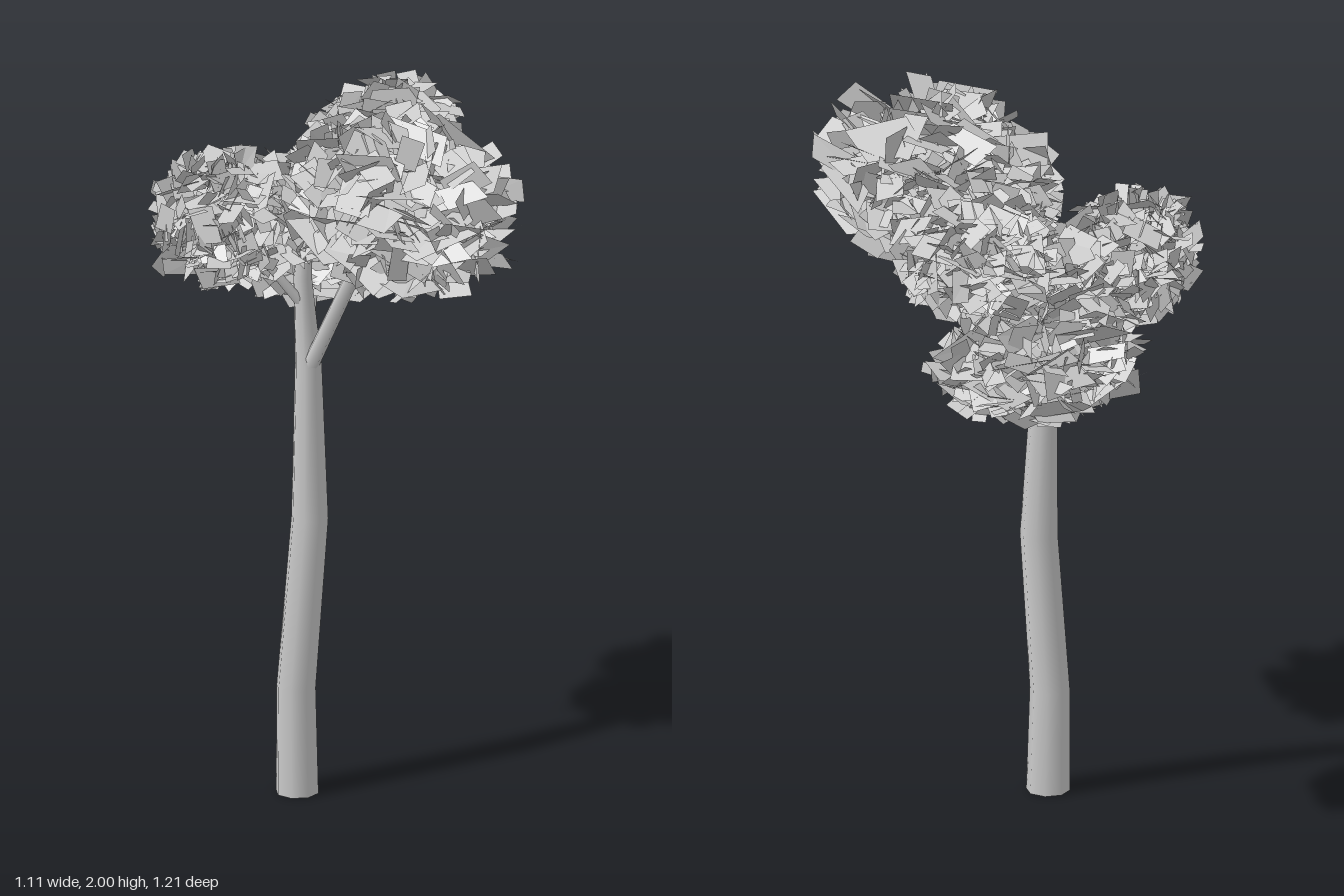
import * as THREE from 'three';

const bark = new THREE.MeshStandardMaterial({ color: 0xcccccc });
const foliage = new THREE.MeshStandardMaterial({ color: 0xcccccc, side: THREE.DoubleSide, flatShading: true });

// Small seeded generator, values in 0..1
function seeded(seed) {
  let s = seed;
  return () => {
    s = (s * 16807) % 2147483647;
    return s / 2147483647;
  };
}

// Bent, tapering trunk: one horizontal ring per [x, y, z, radius]
function makeTrunk(rings) {
  const n = rings.length - 1;
  const geo = new THREE.CylinderGeometry(1, 1, n, 8, n);
  const pos = geo.attributes.position;
  for (let i = 0; i < pos.count; i++) {
    const [x, y, z, r] = rings[Math.round(pos.getY(i) + n / 2)];
    pos.setXYZ(i, x + pos.getX(i) * r, y, z + pos.getZ(i) * r);
  }
  return new THREE.Mesh(geo, bark);
}

// Straight tapering branch between two points
function makeBranch(from, to, r0, r1) {
  const a = new THREE.Vector3(...from);
  const dir = new THREE.Vector3(...to).sub(a);
  const mesh = new THREE.Mesh(new THREE.CylinderGeometry(r1, r0, dir.length(), 7), bark);
  mesh.position.copy(a).addScaledVector(dir, 0.5);
  mesh.quaternion.setFromUnitVectors(new THREE.Vector3(0, 1, 0), dir.normalize());
  return mesh;
}

// Norm whose unit ball is a very slightly boxy sphere
const boxyLength = (p) =>
  (Math.abs(p.x) ** 2.3 + Math.abs(p.y) ** 2.3 + Math.abs(p.z) ** 2.3) ** (1 / 2.3);

// Ball of randomly turned, pointed leaf quads, stretched and turned
function makeLeaves({ center, radii, turn, count, leaf, seed }) {
  const rnd = seeded(seed);
  const randomDir = () => {
    const y = rnd() * 2 - 1, a = rnd() * Math.PI * 2, h = Math.sqrt(1 - y * y);
    return new THREE.Vector3(h * Math.cos(a), y, h * Math.sin(a));
  };
  const matrix = new THREE.Matrix4().compose(
    new THREE.Vector3(...center),
    new THREE.Quaternion().setFromAxisAngle(new THREE.Vector3(0, 1, 0), turn),
    new THREE.Vector3(...radii)
  );
  const verts = [], index = [];
  for (let i = 0; i < count; i++) {
    const mid = randomDir();
    mid.multiplyScalar((0.35 + 0.57 * Math.sqrt(rnd())) / boxyLength(mid));
    const u = randomDir();
    const v = randomDir().cross(u).normalize();
    const len = leaf * (0.75 + 0.6 * rnd()), wid = len * (0.45 + 0.2 * rnd());
    for (const [su, sv] of [[-1, -1], [0.8, -0.9], [1.1, 0.9], [-0.8, 1]]) {
      const p = mid.clone().addScaledVector(u, su * len).addScaledVector(v, sv * wid);
      p.multiplyScalar(Math.min(1, 1.13 / boxyLength(p))).applyMatrix4(matrix);
      verts.push(p.x, p.y, p.z);
    }
    const k = i * 4;
    index.push(k, k + 1, k + 2, k, k + 2, k + 3);
  }
  const geo = new THREE.BufferGeometry();
  geo.setAttribute('position', new THREE.Float32BufferAttribute(verts, 3));
  geo.setIndex(index);
  geo.computeVertexNormals();
  return new THREE.Mesh(geo, foliage);
}

export function createModel() {
  const tree = new THREE.Group();
  tree.name = 'tree';
  const add = (name, mesh) => {
    mesh.name = name;
    tree.add(mesh);
  };

  add('trunk', makeTrunk([
    [-0.113, 0, 0.19, 0.06],
    [-0.12, 0.3, 0.175, 0.055],
    [-0.098, 0.77, 0.115, 0.052],
    [-0.12, 1.19, 0.05, 0.038],
    [-0.15, 1.42, 0, 0.026],
    [-0.15, 1.52, -0.03, 0.02],
  ]));

  // Branches into the leaf masses
  add('frontBranch', makeBranch([-0.115, 1.18, 0.06], [0.09, 1.62, 0.155], 0.023, 0.02));
  add('backBranch', makeBranch([-0.13, 1.21, 0.04], [-0.18, 1.33, -0.22], 0.02, 0.012));
  add('rightBranch', makeBranch([-0.14, 1.34, 0.02], [-0.28, 1.55, 0.1], 0.015, 0.01));
  add('upperBranch', makeBranch([-0.15, 1.5, -0.025], [0, 1.7, -0.25], 0.018, 0.01));

  // Upper mass, running from the front left to the back
  add('frontLeaves', makeLeaves({
    center: [0.205, 1.75, 0.25], radii: [0.27, 0.225, 0.36], turn: 0.72, count: 480, leaf: 0.27, seed: 11,
  }));
  add('middleLeaves', makeLeaves({
    center: [0.06, 1.735, -0.03], radii: [0.22, 0.165, 0.24], turn: 0.15, count: 250, leaf: 0.28, seed: 71,
  }));
  add('backLeaves', makeLeaves({
    center: [0.015, 1.72, -0.29], radii: [0.21, 0.16, 0.265], turn: 0.3, count: 370, leaf: 0.28, seed: 23,
  }));

  // Lower mass, running from the right side down to the back
  add('rightLeaves', makeLeaves({
    center: [-0.35, 1.605, 0.085], radii: [0.18, 0.175, 0.245], turn: -0.15, count: 430, leaf: 0.25, seed: 37,
  }));
  add('innerLeaves', makeLeaves({
    center: [-0.24, 1.57, -0.08], radii: [0.19, 0.15, 0.25], turn: 0, count: 270, leaf: 0.25, seed: 83,
  }));
  add('lowerLeaves', makeLeaves({
    center: [-0.15, 1.435, -0.295], radii: [0.29, 0.16, 0.24], turn: 0.6, count: 440, leaf: 0.25, seed: 51,
  }));
  return tree;
}
